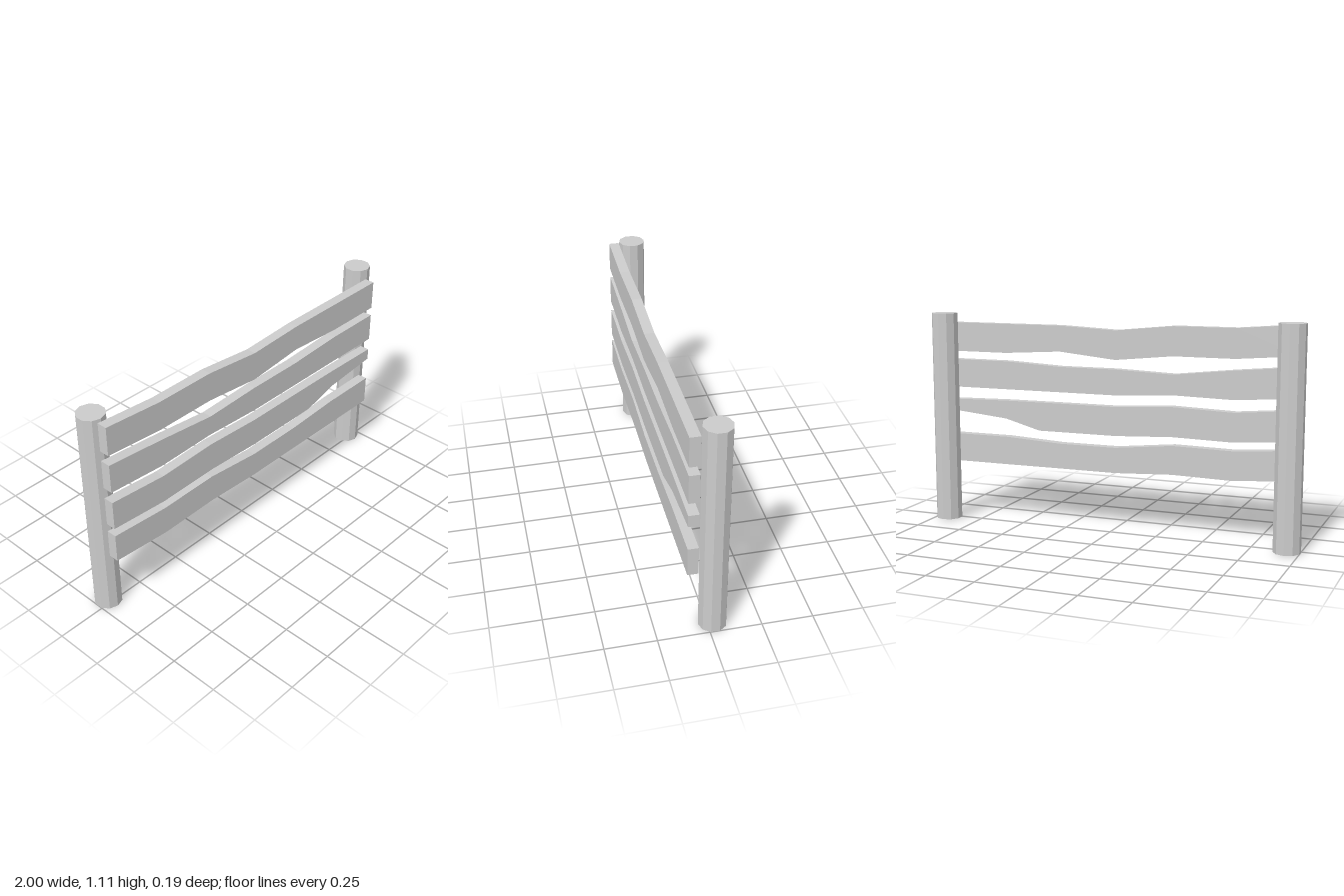
import * as THREE from 'three';

const material = new THREE.MeshStandardMaterial({ color: 0xcccccc, flatShading: true });

// Stations along each plank, then top and bottom heights at each station
const stations = [-0.955, -0.64, -0.32, -0.01, 0.3, 0.61, 0.925];
const planks = [
  { name: 'topPlank',
    top: [1.098, 1.073, 1.073, 1.042, 1.057, 1.057, 1.057],
    bottom: [0.948, 0.923, 0.923, 0.892, 0.923, 0.904, 0.904] },
  { name: 'upperPlank',
    top: [0.895, 0.866, 0.831, 0.843, 0.843, 0.859, 0.859],
    bottom: [0.744, 0.72, 0.727, 0.71, 0.71, 0.71, 0.71] },
  { name: 'lowerPlank',
    top: [0.685, 0.657, 0.667, 0.65, 0.65, 0.649, 0.643],
    bottom: [0.533, 0.508, 0.514, 0.499, 0.499, 0.552, 0.582],
    bottomStations: [-0.955, -0.64, -0.32, -0.01, 0.42, 0.615, 0.925] },
  { name: 'bottomPlank',
    top: [0.489, 0.464, 0.469, 0.437, 0.437, 0.453, 0.453],
    bottom: [0.339, 0.314, 0.32, 0.304, 0.304, 0.303, 0.303] },
];

function makePlank({ name, top, bottom, bottomStations = stations }) {
  const lower = bottom.map((y, i) => new THREE.Vector2(bottomStations[i], y));
  const upper = top.map((y, i) => new THREE.Vector2(stations[i], y)).reverse();
  const geometry = new THREE.ExtrudeGeometry(new THREE.Shape([...lower, ...upper]), {
    depth: 0.052, bevelEnabled: false,
  });
  geometry.translate(0, 0, 0.043);
  const mesh = new THREE.Mesh(geometry, material);
  mesh.name = name;
  return mesh;
}

export function createModel() {
  const group = new THREE.Group();
  group.name = 'fence';

  // Ten-sided round posts
  const height = 1.112;
  const postGeometry = new THREE.CylinderGeometry(0.069, 0.069, height, 10);
  for (const side of [-1, 1]) {
    const post = new THREE.Mesh(postGeometry, material);
    post.name = side > 0 ? 'leftPost' : 'rightPost';
    post.position.set(side * 0.9345, height / 2, -0.026);
    group.add(post);
  }

  // Wavy planks across the front of the posts
  for (const plank of planks) group.add(makePlank(plank));

  return group;
}
